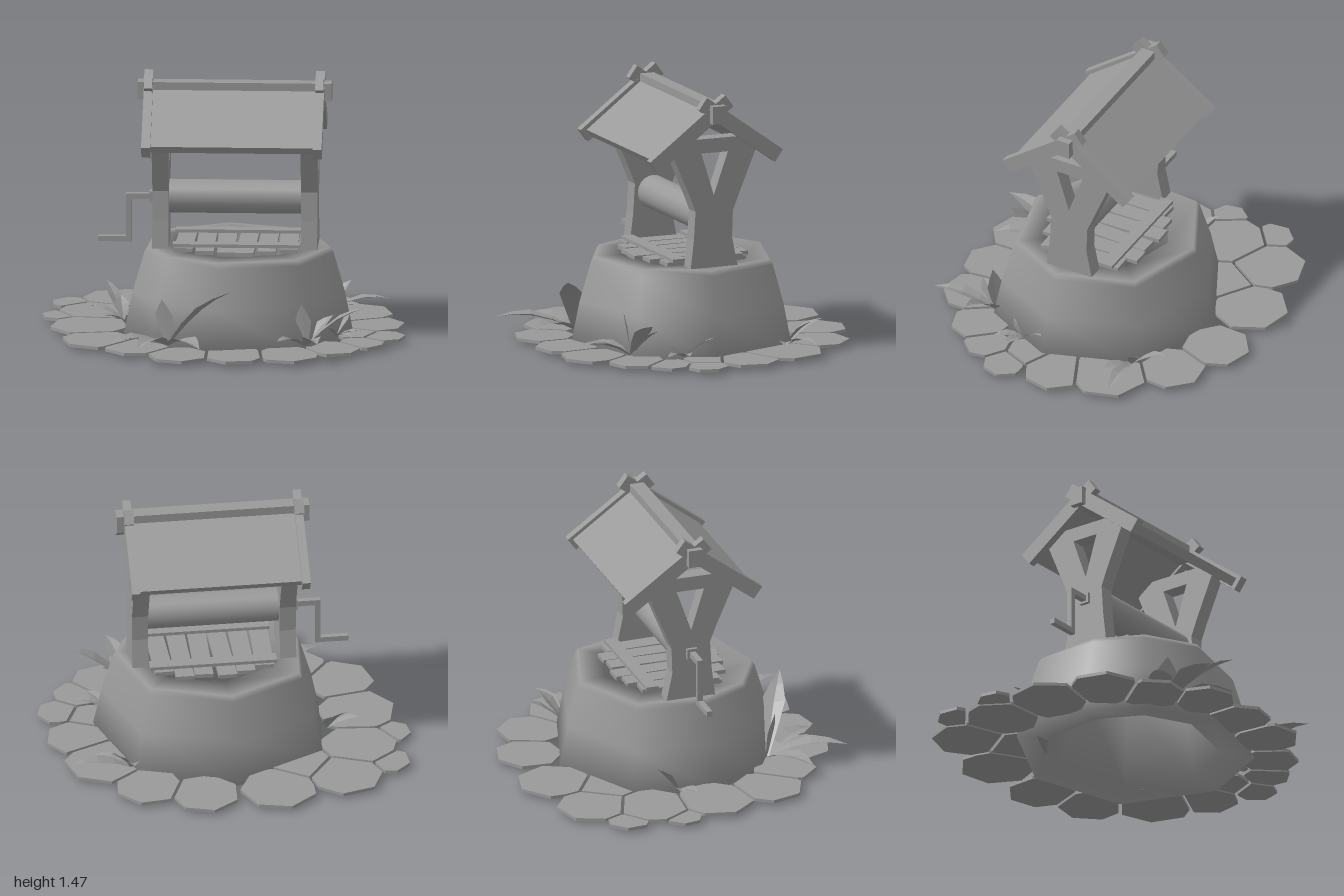
import * as THREE from 'three';

const flat = new THREE.MeshStandardMaterial({ color: 0x999999, flatShading: true });
const smooth = new THREE.MeshStandardMaterial({ color: 0x999999 });
const leafMat = new THREE.MeshStandardMaterial({ color: 0x999999, flatShading: true, side: THREE.DoubleSide });

function add(parent, name, geometry, material = flat) {
  const mesh = new THREE.Mesh(geometry, material);
  mesh.name = name;
  parent.add(mesh);
  return mesh;
}

// Box given by its limits along each axis
function box(parent, name, [x0, x1], [y0, y1], [z0, z1]) {
  const mesh = add(parent, name, new THREE.BoxGeometry(x1 - x0, y1 - y0, z1 - z0));
  mesh.position.set((x0 + x1) / 2, (y0 + y1) / 2, (z0 + z1) / 2);
  return mesh;
}

// Sloping board whose centre line runs between two [z, y] points
function slope(parent, name, [x0, x1], a, b, thick) {
  const dz = b[0] - a[0], dy = b[1] - a[1];
  const mesh = add(parent, name, new THREE.BoxGeometry(x1 - x0, thick, Math.hypot(dz, dy)));
  mesh.position.set((x0 + x1) / 2, (a[1] + b[1]) / 2, (a[0] + b[0]) / 2);
  mesh.rotation.x = -Math.atan2(dy, dz);
}

// Indexed surface with smooth normals
function surface(pos, index) {
  const g = new THREE.BufferGeometry();
  g.setAttribute('position', new THREE.Float32BufferAttribute(pos, 3));
  g.setIndex(index);
  g.computeVertexNormals();
  return g;
}

// Hollow wall: one irregular outline scaled through a closed profile
function wallGeometry() {
  const outline = [[0, -0.62], [0.55, -0.45], [0.73, 0.08], [0.52, 0.5],
    [-0.03, 0.63], [-0.38, 0.44], [-0.54, 0.12], [-0.5, -0.37]];
  const profile = [[1, 0], [0.92, 0.25], [0.82, 0.47], [0.79, 0.5], [0.55, 0.5], [0.72, 0.03]];
  const n = outline.length, m = profile.length, pos = [], index = [];
  for (const [s, y] of profile)
    for (const [x, z] of outline) pos.push(0.1 + (x - 0.1) * s, y, z * s);
  for (let j = 0; j < m; j++)
    for (let i = 0; i < n; i++) {
      const k = (i + 1) % n, lo = j * n, hi = ((j + 1) % m) * n;
      index.push(lo + i, hi + i, hi + k, lo + i, hi + k, lo + k);
    }
  return surface(pos, index);
}

// Keep the part of a polygon where p . normal <= limit
function clip(poly, nx, nz, limit) {
  const out = [];
  poly.forEach((p, i) => {
    const q = poly[(i + 1) % poly.length];
    const a = p[0] * nx + p[1] * nz - limit, b = q[0] * nx + q[1] * nz - limit;
    if (a <= 0) out.push(p);
    if (a * b < 0) {
      const t = a / (a - b);
      out.push([p[0] + (q[0] - p[0]) * t, p[1] + (q[1] - p[1]) * t]);
    }
  });
  return out;
}

// Paving: seven-sided slabs [x, z, radius] trimmed against their neighbours
function buildPaving(parent) {
  const stones = [[-0.21, -0.72, 0.215], [-0.59, -0.62, 0.215], [-0.84, -0.51, 0.125], [-0.7, -0.33, 0.22],
    [-0.9, -0.21, 0.105], [-0.73, 0.03, 0.22], [-0.67, 0.36, 0.2], [-0.45, 0.53, 0.18],
    [-0.21, 0.71, 0.17], [0.1, 0.71, 0.175], [0.39, 0.68, 0.18], [0.63, 0.52, 0.16],
    [0.78, 0.39, 0.13], [0.9, 0.22, 0.12], [0.74, 0.15, 0.13], [0.83, -0.06, 0.175],
    [0.71, -0.33, 0.22], [0.5, -0.61, 0.19], [0.2, -0.73, 0.19], [-0.37, -0.47, 0.19]];
  const gap = 0.009;
  stones.forEach(([x, z, r], i) => {
    let poly = [];
    for (let k = 0; k < 7; k++) {
      const a = (k / 7) * Math.PI * 2 + i * 1.3;
      poly.push([x + r * Math.cos(a), z + r * Math.sin(a)]);
    }
    stones.forEach(([u, v, s], j) => {
      const d = Math.hypot(u - x, v - z);
      if (i === j || d > r + s) return;
      const nx = (u - x) / d, nz = (v - z) / d;
      poly = clip(poly, nx, nz, x * nx + z * nz + (d * d + r * r - s * s) / (2 * d) - gap);
    });
    const shape = new THREE.Shape(poly.map(([a, b]) => new THREE.Vector2(a, b)));
    const g = new THREE.ExtrudeGeometry(shape, { depth: 0.018, bevelEnabled: false });
    add(parent, 'pavingStone', g.rotateX(Math.PI / 2)).position.y = 0.036;
  });
}

// Folded, pointed leaf bending from the origin to its tip
function leafGeometry(tip, width) {
  const end = new THREE.Vector3(...tip);
  const reach = Math.hypot(end.x, end.z);
  const mid = new THREE.Vector3(end.x * 0.5, end.y * 0.5 + reach * 0.2, end.z * 0.5);
  const curve = new THREE.QuadraticBezierCurve3(new THREE.Vector3(), mid, end);
  const side = new THREE.Vector3(-end.z, 0, end.x).normalize();
  const pos = [], index = [];
  [[0, 0.2], [0.28, 0.7], [0.55, 1], [0.78, 0.55], [1, 0.01]].forEach(([t, w], row) => {
    const p = curve.getPoint(t);
    for (const s of [-1, 0, 1]) {
      const q = p.clone().addScaledVector(side, s * w * width / 2);
      pos.push(q.x, q.y + Math.abs(s) * w * width * 0.15, q.z);
    }
    if (row) for (const c of [0, 1]) {
      const a = (row - 1) * 3 + c, b = a + 3;
      index.push(a, a + 1, b + 1, a, b + 1, b);
    }
  });
  return surface(pos, index);
}

// Forked post with a triangular opening, extruded along x
function postGeometry() {
  const v = (list) => list.map(([z, y]) => new THREE.Vector2(z, y));
  const shape = new THREE.Shape(v([[0.155, 0.49], [0.135, 0.66], [0.125, 0.82], [0.16, 0.91], [0.265, 1.15],
    [0.2, 1.225], [-0.18, 1.225], [-0.24, 1.15], [-0.14, 0.91], [-0.1, 0.81], [-0.095, 0.66], [-0.13, 0.49]]));
  shape.holes.push(new THREE.Path(v([[0.09, 1.145], [-0.07, 1.145], [0.015, 0.905]])));
  return new THREE.ExtrudeGeometry(shape, { depth: 0.09, bevelEnabled: false }).rotateY(-Math.PI / 2);
}

export function createModel() {
  const well = new THREE.Group();
  well.name = 'well';
  add(well, 'wall', wallGeometry(), smooth);
  buildPaving(well);

  // Wooden cover: boards along z under two battens
  const cover = new THREE.Group();
  cover.name = 'cover';
  well.add(cover);
  const ends = [[-0.22, 0.24], [-0.27, 0.3], [-0.3, 0.33], [-0.28, 0.34], [-0.29, 0.3], [-0.23, 0.25]];
  ends.forEach((z, i) => {
    const x = -0.25 + i * 0.114;
    box(cover, 'coverBoard', [x, x + 0.102], [0.502, 0.524], z).rotation.y = (i % 3 - 1) * 0.025;
  });
  for (const z of [-0.17, 0.185]) box(cover, 'coverBatten', [-0.265, 0.44], [0.522, 0.542], [z - 0.035, z + 0.035]);

  // Posts
  for (const x of [-0.29, 0.53]) add(well, 'post', postGeometry()).position.x = x;

  // Drum and crank
  const drum = add(well, 'drum', new THREE.CylinderGeometry(0.093, 0.093, 0.75, 20).rotateZ(Math.PI / 2), smooth);
  drum.position.set(0.075, 0.768, 0.015);
  const crank = new THREE.Group();
  crank.name = 'crank';
  well.add(crank);
  box(crank, 'axlePlate', [-0.4, -0.37], [0.738, 0.798], [-0.015, 0.045]);
  box(crank, 'axle', [-0.53, -0.37], [0.75, 0.782], [0, 0.032]);
  box(crank, 'crankArm', [-0.53, -0.498], [0.51, 0.782], [0, 0.032]);
  box(crank, 'crankHandle', [-0.685, -0.5], [0.51, 0.54], [0, 0.032]);

  // Roof: ridge beam, crossed rafters and two panels
  const roof = new THREE.Group();
  roof.name = 'roof';
  well.add(roof);
  box(roof, 'ridgeBeam', [-0.465, 0.605], [1.318, 1.418], [-0.028, 0.053]);
  for (const x of [-0.43, 0.515]) {
    slope(roof, 'frontRafter', [x, x + 0.05], [0.388, 1.096], [-0.064, 1.436], 0.082);
    slope(roof, 'backRafter', [x + 0.002, x + 0.048], [-0.364, 1.102], [0.094, 1.43], 0.082);
  }
  slope(roof, 'frontPanel', [-0.4, 0.53], [0.362, 1.108], [0.02, 1.368], 0.05);
  slope(roof, 'backPanel', [-0.4, 0.53], [-0.345, 1.112], [0.005, 1.364], 0.05);

  // Plants: root [x, z], leaf width, leaf tips relative to the root
  const plants = [
    [[-0.55, -0.12], 0.08, [[-0.2, 0.07, -0.04], [-0.1, 0.19, -0.16], [-0.13, 0.03, 0.07], [-0.02, 0.12, -0.09]]],
    [[0.57, -0.4], 0.08, [[0.01, 0.14, -0.22], [0.34, 0.06, -0.04], [0.2, 0.04, 0.09], [0.12, 0.15, -0.1]]],
    [[0.63, 0.24], 0.06, [[0.08, 0.11, -0.15], [0.17, 0.04, 0.04], [0.1, 0.03, 0.14], [-0.04, 0.07, 0.09]]],
    [[0.48, 0.49], 0.1, [[0.33, 0.23, 0.02], [0.08, 0.1, 0.35], [-0.15, 0.07, 0.17], [-0.02, 0.25, 0.04], [0.15, 0.16, -0.1]]],
    [[-0.28, 0.49], 0.13, [[-0.15, 0.08, 0.42], [-0.31, 0.05, 0.17], [0.19, 0.06, 0.33], [0.35, 0.35, 0.2],
      [-0.03, 0.27, 0.04]]],
  ];
  for (const [[x, z], width, tips] of plants) {
    const plant = new THREE.Group();
    plant.name = 'plant';
    plant.position.set(x, 0.03, z);
    for (const tip of tips) add(plant, 'leaf', leafGeometry(tip, width), leafMat);
    well.add(plant);
  }
  return well;
}
